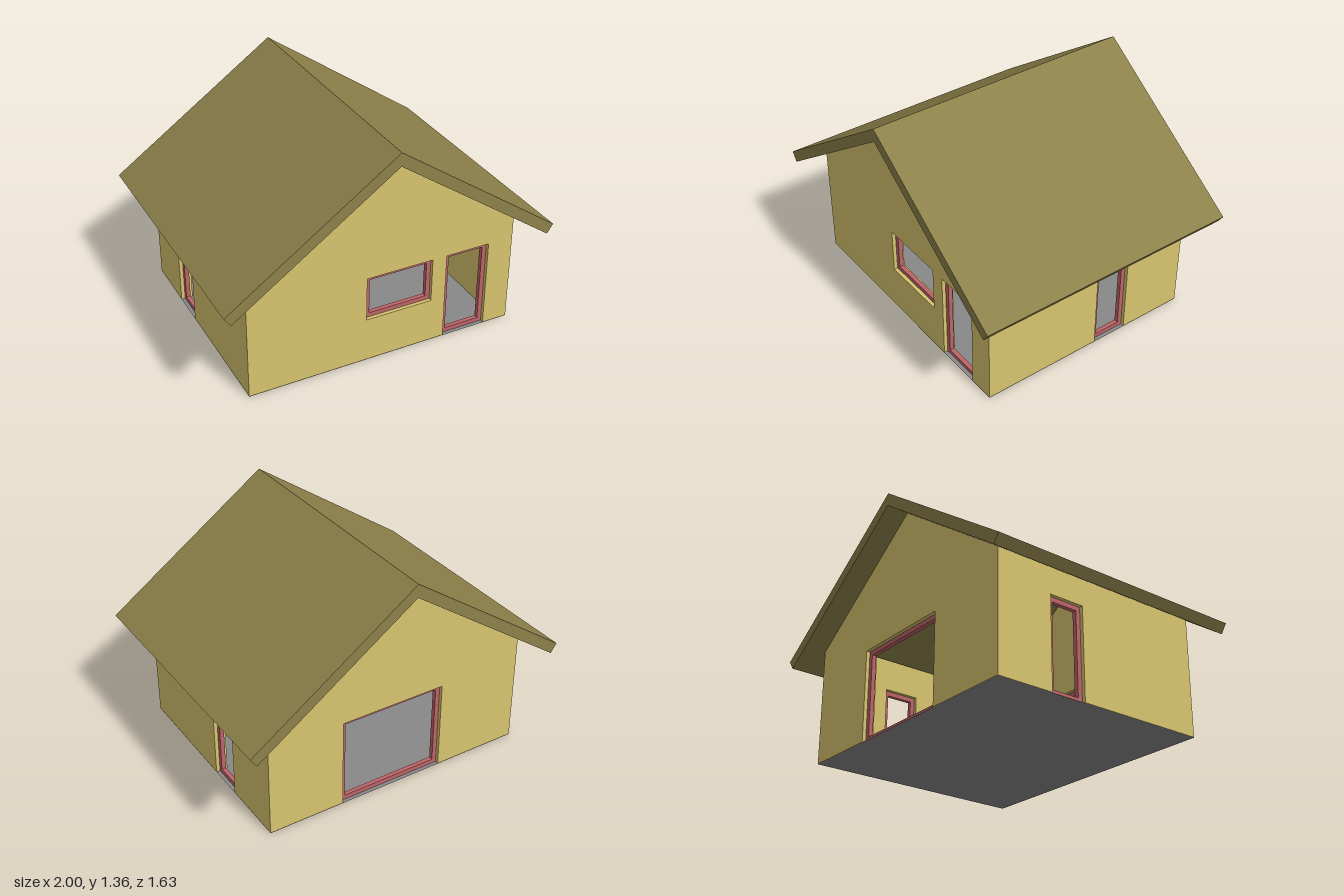
import * as THREE from 'three';

const W = 0.825, D = 0.68;          // half width and half depth of the walls
const T = 0.07;                     // wall thickness
const BASE = 0.002;                 // walls start just above the floor sheet
const FRAME_W = 0.027, FRAME_D = 0.026;

const paint = (color) => new THREE.MeshStandardMaterial({ color, flatShading: true });

function rectPath(x0, x1, y0, y1, PathType = THREE.Path) {
  return new PathType([[x0, y0], [x1, y0], [x1, y1], [x0, y1]].map((p) => new THREE.Vector2(...p)));
}

function extrude(shape, depth, material, name) {
  const geometry = new THREE.ExtrudeGeometry(shape, { depth, bevelEnabled: false });
  const mesh = new THREE.Mesh(geometry, material);
  mesh.name = name;
  return mesh;
}

export function createModel() {
  const house = new THREE.Group();
  house.name = 'house';
  const wallPaint = paint(0xd8c46f);
  const framePaint = paint(0xbd6568);
  const roofPaint = paint(0x8d814a);
  const floorPaint = paint(0x888888);
  floorPaint.side = THREE.DoubleSide;

  // A wall facing local +z: doors are notches from the ground, windows are holes.
  function addWall({ name, half, top, distance, turn, openings }) {
    const wall = new THREE.Group();
    wall.name = name;
    const outline = [[-half, BASE]];
    for (const [x0, x1, y0, y1] of openings) {
      if (y0 <= BASE) outline.push([x0, BASE], [x0, y1], [x1, y1], [x1, BASE]);
    }
    outline.push([half, BASE], ...top);
    const shape = new THREE.Shape(outline.map((p) => new THREE.Vector2(...p)));
    for (const [x0, x1, y0, y1] of openings) {
      if (y0 > BASE) shape.holes.push(rectPath(x0, x1, y0, y1));
    }
    const panel = extrude(shape, T, wallPaint, name + 'Panel');
    panel.position.z = distance - T;
    wall.add(panel);

    // Frames sit in the middle of the wall thickness
    for (const [x0, x1, y0, y1] of openings) {
      const ring = rectPath(x0, x1, y0, y1, THREE.Shape);
      ring.holes.push(rectPath(x0 + FRAME_W, x1 - FRAME_W, y0 + FRAME_W, y1 - FRAME_W));
      const frame = extrude(ring, FRAME_D, framePaint, y0 <= BASE ? 'doorFrame' : 'windowFrame');
      frame.position.z = distance - (T + FRAME_D) / 2;
      wall.add(frame);
    }
    wall.rotation.y = turn;
    house.add(wall);
  }

  const gable = [[W, 0.706], [0, 1.282], [-W, 0.706]];
  const sideHalf = D - T;
  const eave = [[sideHalf, 0.74], [-sideHalf, 0.74]];

  addWall({
    name: 'frontWall', half: W, top: gable, distance: D, turn: 0,
    openings: [[-0.11, 0.302, 0.274, 0.547], [0.392, 0.667, BASE, 0.547]],
  });
  addWall({
    name: 'backWall', half: W, top: gable, distance: D, turn: Math.PI,
    openings: [[-0.36, 0.295, BASE, 0.547]],
  });
  addWall({
    name: 'leftWall', half: sideHalf, top: eave, distance: W, turn: Math.PI / 2,
    openings: [[0.06, 0.278, BASE, 0.547]],
  });
  addWall({
    name: 'rightWall', half: sideHalf, top: eave, distance: W, turn: -Math.PI / 2,
    openings: [[-0.333, -0.114, BASE, 0.547]],
  });

  // Gabled roof with overhanging eaves
  const roofShape = new THREE.Shape(
    [[0, 1.362], [-1, 0.662], [-0.963, 0.608], [0, 1.282], [0.963, 0.608], [1, 0.662]]
      .map((p) => new THREE.Vector2(...p)));
  const roof = extrude(roofShape, 1.63, roofPaint, 'roof');
  roof.position.z = -0.815;
  house.add(roof);

  // Floor sheet
  const floor = new THREE.Mesh(new THREE.PlaneGeometry(2 * W, 2 * D), floorPaint);
  floor.name = 'floor';
  floor.rotation.x = -Math.PI / 2;
  house.add(floor);

  return house;
}
